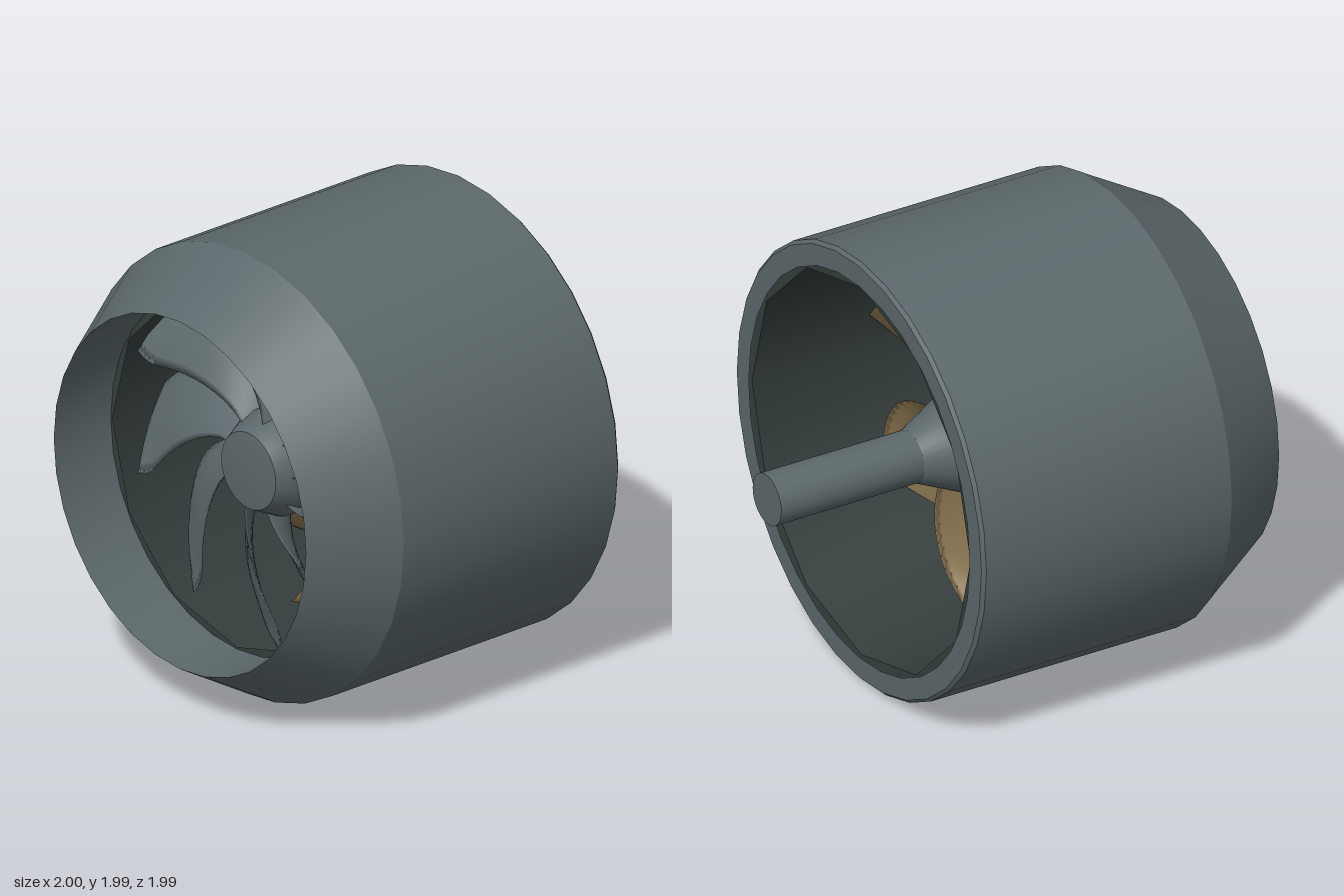
import * as THREE from 'three';
import { toCreasedNormals } from 'three/addons/utils/BufferGeometryUtils.js';

const material = (name, hex, side = THREE.FrontSide) => {
  const m = new THREE.MeshStandardMaterial({ color: hex, side });
  m.name = name;
  return m;
};

// Turned part around the x axis; profile points are [radius, x].
function turned(name, profile, segments, mat, crease = 0.5) {
  const geo = new THREE.LatheGeometry(profile.map(p => new THREE.Vector2(...p)), segments);
  geo.rotateZ(-Math.PI / 2);
  const mesh = new THREE.Mesh(toCreasedNormals(geo, crease), mat);
  mesh.name = name;
  return mesh;
}

// Swept blade: sections are [radius, first edge angle, second edge angle] in degrees.
function bladeGeometry(sections, midX, depth, thickness) {
  const curve = new THREE.CatmullRomCurve3(sections.map(s => new THREE.Vector3(...s)));
  const rows = 14, cols = 10, loop = cols * 2;
  const pos = [], index = [];
  for (let i = 0; i <= rows; i++) {
    const s = curve.getPoint(i / rows);
    const thick = i === rows ? 0 : thickness * (1 - 0.5 * i / rows);
    for (let j = 0; j < loop; j++) {
      const t = j <= cols ? j / cols : 2 - j / cols;
      const face = j <= cols ? 1 : -1;
      const a = THREE.MathUtils.degToRad(s.y + (s.z - s.y) * t);
      const x = midX + depth * (0.5 - t) + face * thick * Math.sin(Math.PI * t);
      pos.push(x, s.x * Math.sin(a), -s.x * Math.cos(a));
    }
  }
  for (let i = 0; i < rows; i++) {
    for (let j = 0; j < loop; j++) {
      const a = i * loop + j, b = i * loop + (j + 1) % loop;
      index.push(a, a + loop, b, b, a + loop, b + loop);
    }
  }
  const geo = new THREE.BufferGeometry();
  geo.setAttribute('position', new THREE.Float32BufferAttribute(pos, 3));
  geo.setIndex(index);
  geo.computeVertexNormals();
  return geo;
}

// Ring of identical blades around the x axis.
function bladeRing(name, geo, count, mat) {
  const ring = new THREE.Group();
  ring.name = name + 's';
  for (let k = 0; k < count; k++) {
    const blade = new THREE.Mesh(geo, mat);
    blade.name = name;
    blade.rotation.x = k * 2 * Math.PI / count;
    ring.add(blade);
  }
  return ring;
}

export function createModel() {
  const model = new THREE.Group();
  model.name = 'ductedPropeller';
  const steel = material('slate grey', 0x5c686b);
  const dark = material('dark liner grey', 0x343e3c, THREE.DoubleSide);
  const bronze = material('bronze', 0x88734f);

  const unit = new THREE.Group();
  unit.name = 'propulsor';
  unit.position.y = 0.995;
  model.add(unit);

  // Outer duct: inner rear lip, tapered tail, cylinder and front rim
  unit.add(turned('duct', [
    [0.79, -0.68], [0.785, -1], [0.985, -0.66], [0.995, -0.645],
    [0.995, 0.54], [0.98, 0.555], [0.885, 0.555],
  ], 32, steel));

  // Twelve-sided inner wall with small flanges at both ends
  unit.add(turned('ductLiner', [
    [0.95, 0.55], [0.875, 0.545], [0.825, -0.68], [0.78, -0.68],
  ], 12, dark, 0.6));

  // Hub with conical nose and blunt tail, and the drive shaft
  unit.add(turned('hub', [
    [0, -0.64], [0.17, -0.62], [0.23, -0.5], [0.24, -0.2], [0.24, 0.04], [0.115, 0.31], [0, 0.31],
  ], 32, steel));
  unit.add(turned('shaft', [[0.115, 0.25], [0.115, 1], [0, 1]], 28, steel));

  // Seven skewed rotor blades
  const rotorBlade = bladeGeometry([
    [0.2, 72, 88], [0.4, 80, 109], [0.58, 88, 121], [0.72, 99, 127], [0.815, 114, 131],
  ], -0.08, 0.22, 0.022);
  unit.add(bladeRing('rotorBlade', rotorBlade, 7, bronze));

  // Nine fixed blades behind, swept the other way
  const statorBlade = bladeGeometry([
    [0.2, 96, 118], [0.4, 79, 112], [0.58, 67, 103], [0.72, 60, 92], [0.815, 60, 84],
  ], -0.46, -0.2, 0.02);
  unit.add(bladeRing('statorBlade', statorBlade, 9, steel));

  return model;
}
